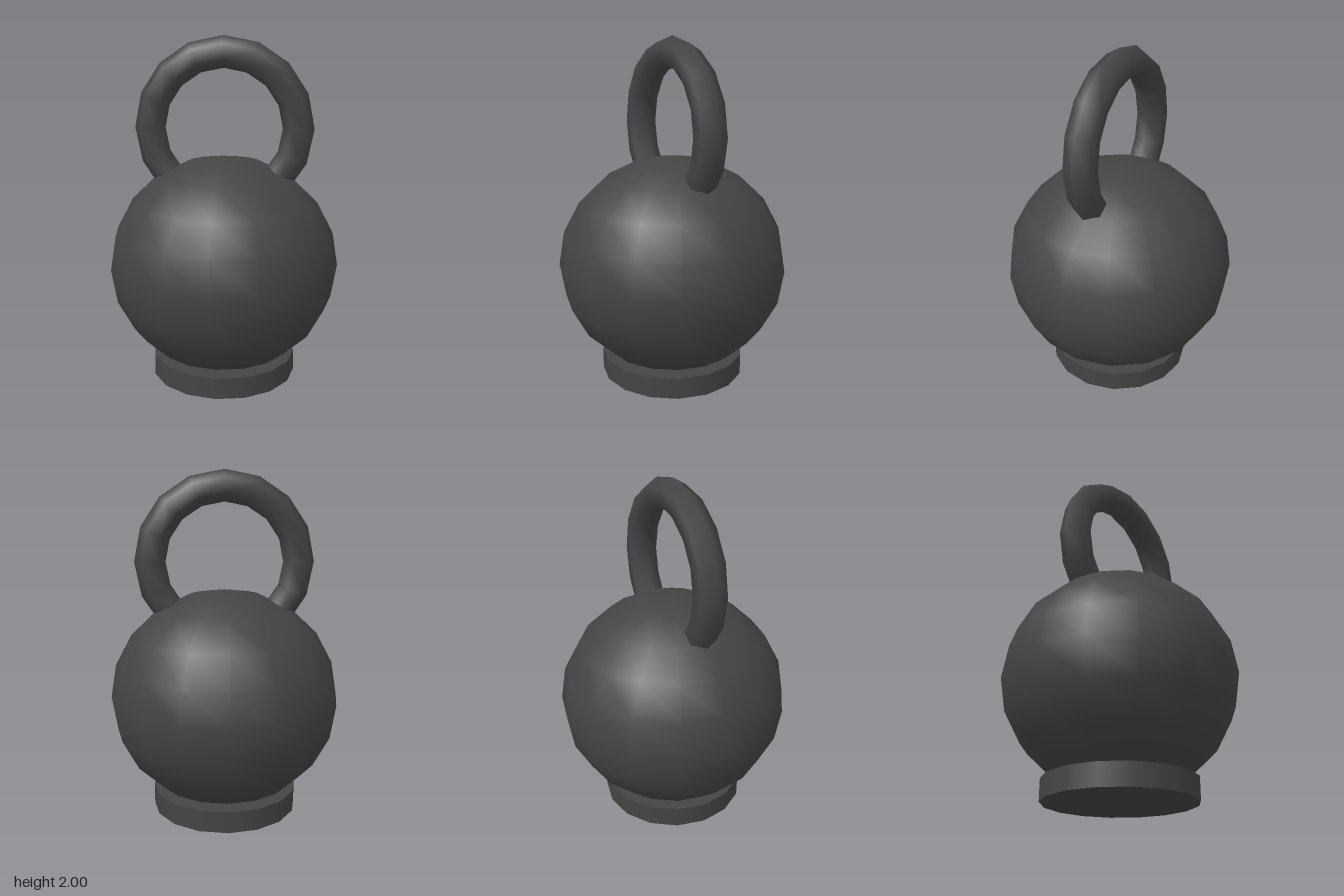
import * as THREE from 'three';

export function createModel() {
  const group = new THREE.Group();
  const castIron = new THREE.MeshStandardMaterial({ color: 0x444444 });
  castIron.name = 'castIron';

  function addPart(name, geometry, y) {
    const mesh = new THREE.Mesh(geometry, castIron);
    mesh.name = name;
    mesh.position.y = y;
    group.add(mesh);
  }

  // Flat round foot
  addPart('base', new THREE.CylinderGeometry(0.43, 0.43, 0.125, 16), 0.0625);

  // Slightly squashed ball
  addPart('body', new THREE.SphereGeometry(0.675, 16, 10).scale(1, 0.948, 1), 0.68);

  // Ring handle, its lower part sunk into the ball
  addPart('handle', new THREE.TorusGeometry(0.43, 0.09, 6, 16), 1.48);

  return group;
}
